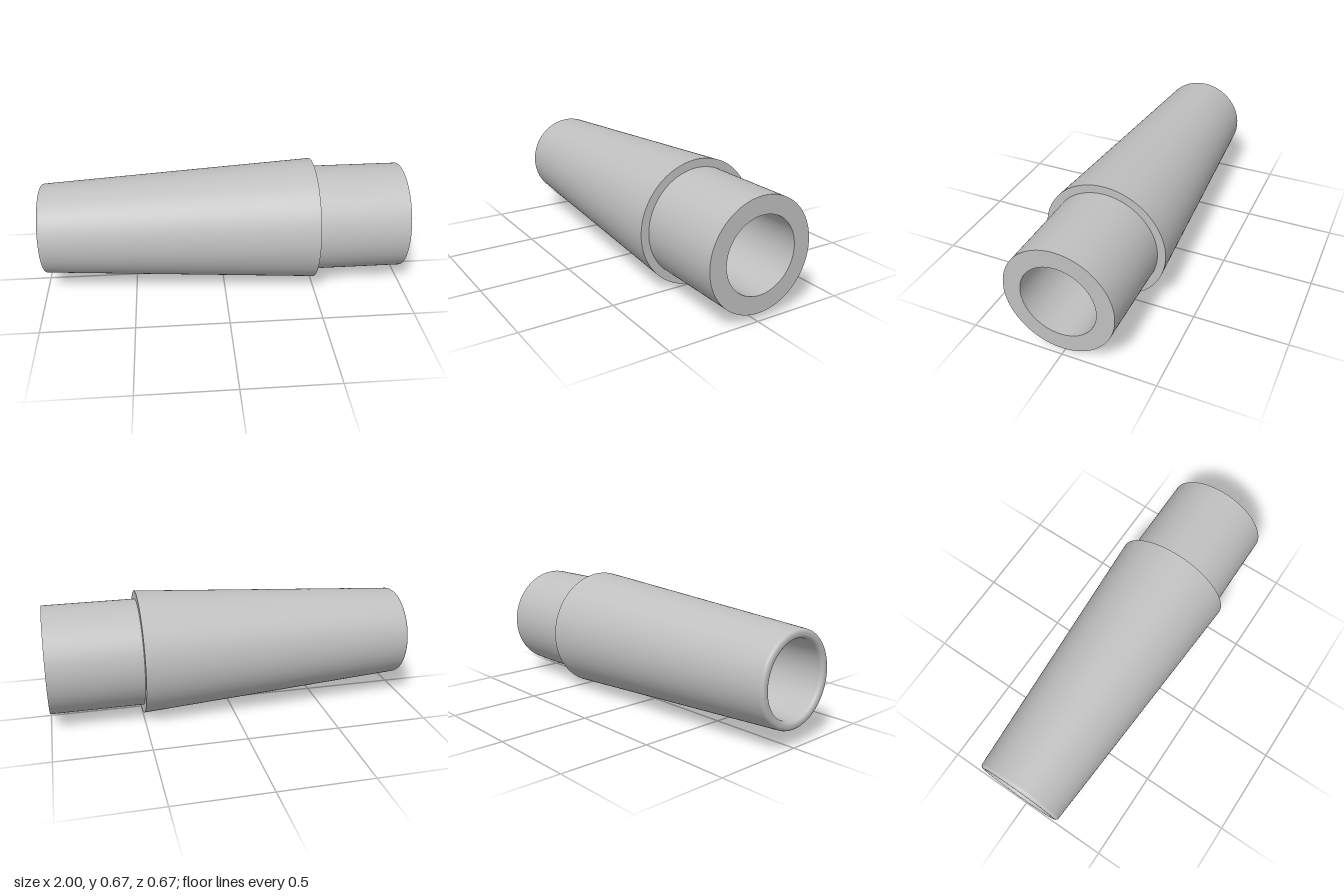
import * as THREE from 'three';

const AXIS_Y = 0.337; // height of the sleeve's axis
const BORE = 0.2;
const TIP = 0.248;
const COLLAR = 0.337;
const SPIGOT = 0.293;
const STEP = 0.5; // where the taper meets the spigot
const FILLET = 0.02;

export function createModel() {
  const model = new THREE.Group();
  model.name = 'taperedSleeve';
  const grey = new THREE.MeshStandardMaterial({ color: 0xc0c0c0 });
  grey.name = 'grey';

  // Profiles are [radius, position along the axis]; separate lathes keep edges sharp
  const sleeve = new THREE.Group();
  sleeve.name = 'sleeve';
  const turn = (name, profile) => {
    const points = profile.map(([r, a]) => new THREE.Vector2(r, a));
    const mesh = new THREE.Mesh(new THREE.LatheGeometry(points, 128), grey);
    mesh.name = name;
    sleeve.add(mesh);
  };

  // Quarter-round between two angles, around a centre in the profile plane
  const arc = (r, a, from, to) => Array.from({ length: 9 }, (_, i) => {
    const t = from + (to - from) * i / 8;
    return [r + FILLET * Math.cos(t), a + FILLET * Math.sin(t)];
  });

  // Rounded lip at the narrow end
  turn('roundedLip', [
    ...arc(BORE + FILLET, -1 + FILLET, -Math.PI, -Math.PI / 2),
    ...arc(TIP - FILLET, -1 + FILLET, -Math.PI / 2, 0),
  ]);

  // Outer surfaces
  turn('taperedBody', [[TIP, -1 + FILLET], [COLLAR, STEP]]);
  turn('shoulder', [[COLLAR, STEP], [SPIGOT, STEP]]);
  turn('spigot', [[SPIGOT, STEP], [SPIGOT, 1]]);
  turn('endFace', [[SPIGOT, 1], [BORE, 1]]);

  // Straight through-hole
  turn('bore', [[BORE, 1], [BORE, -1 + FILLET]]);

  // Lay the axis along x
  sleeve.rotation.z = -Math.PI / 2;
  sleeve.position.y = AXIS_Y;
  model.add(sleeve);
  return model;
}
